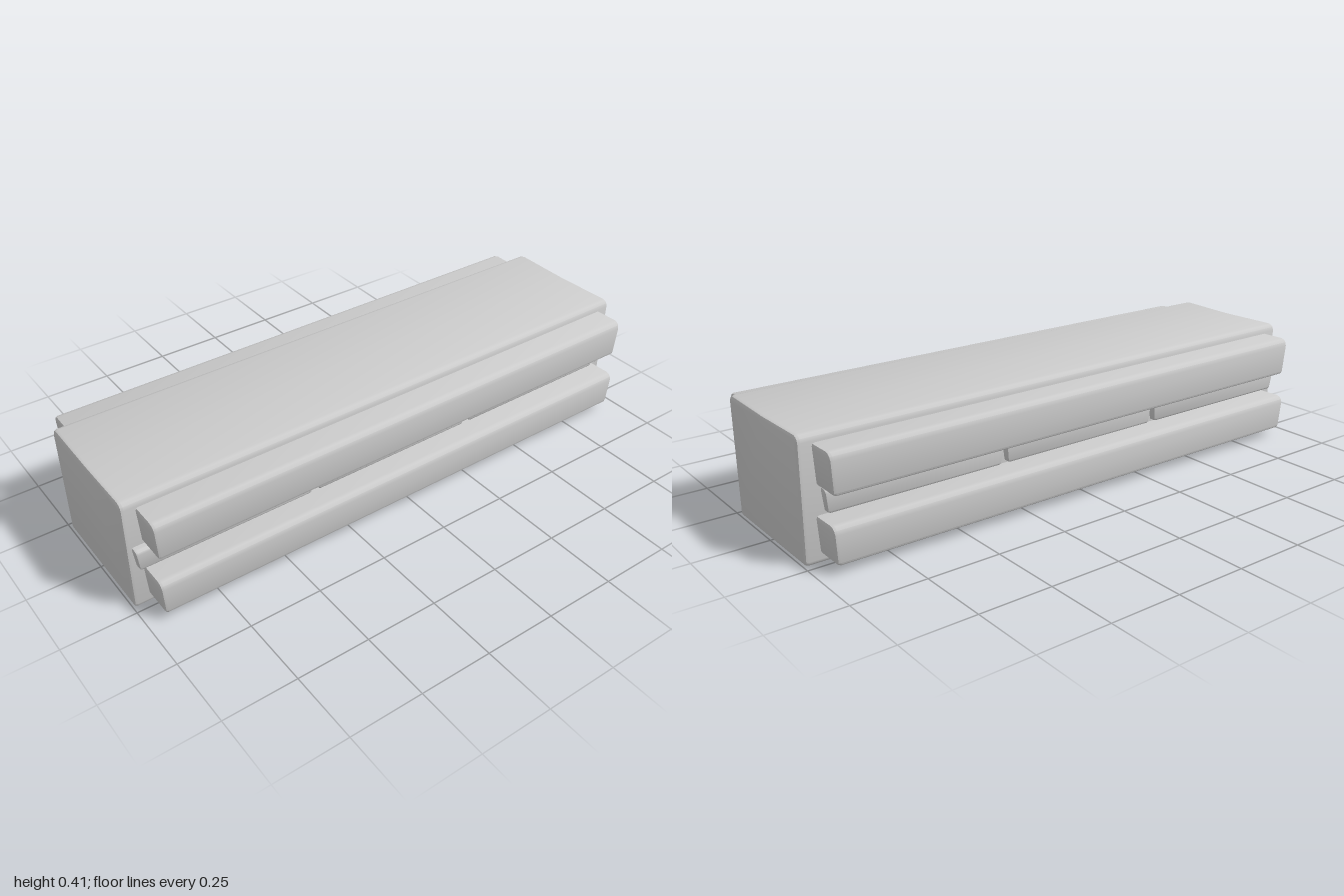
import * as THREE from 'three';
import { toCreasedNormals } from 'three/addons/utils/BufferGeometryUtils.js';

const material = new THREE.MeshStandardMaterial({ color: 0xcccccc });

// Worn block lying along x: well rounded upper edges, tighter lower edges, a slightly hollow top.
function block(name, { x0, x1, y0, y1, half, top, bottom, dip, taper, bevel }) {
  const height = y1 - y0;
  const low = half - 0.004; // the sides lean in slightly toward the base
  const shape = new THREE.Shape();
  shape.moveTo(-low + bottom, 0);
  shape.lineTo(low - bottom, 0);
  shape.quadraticCurveTo(low, 0, low, bottom);
  shape.lineTo(half, height - top);
  shape.quadraticCurveTo(half - top * 0.1, height - top * 0.1, half - top, height);
  shape.lineTo(0, height - dip);
  shape.lineTo(-half + top, height);
  shape.quadraticCurveTo(-half + top * 0.1, height - top * 0.1, -half, height - top);
  shape.lineTo(-low, bottom);
  shape.quadraticCurveTo(-low, 0, -low + bottom, 0);

  const depth = x1 - x0 - 2 * bevel;
  let geometry = new THREE.ExtrudeGeometry(shape, {
    depth, curveSegments: 3, bevelThickness: bevel, bevelSize: bevel,
    bevelOffset: -bevel, bevelSegments: 2,
  });
  geometry.translate(0, 0, -depth / 2);
  geometry.rotateY(Math.PI / 2);

  // Ends lean inward toward the bottom
  const pos = geometry.attributes.position;
  for (let i = 0; i < pos.count; i++) {
    const x = pos.getX(i);
    pos.setX(i, x - Math.sign(x) * taper * (1 - pos.getY(i) / height));
  }
  geometry = toCreasedNormals(geometry, 0.6);

  const mesh = new THREE.Mesh(geometry, material);
  mesh.name = name;
  mesh.position.set((x0 + x1) / 2, y0, 0);
  return mesh;
}

export function createModel() {
  const group = new THREE.Group();
  group.name = 'block';

  // Main body
  group.add(block('body', {
    x0: -0.997, x1: 0.997, y0: 0, y1: 0.408, half: 0.235,
    top: 0.024, bottom: 0.014, dip: 0.004, taper: 0.002, bevel: 0.011,
  }));

  // Long rails, standing proud of the front and the back
  const rail = { x0: -0.951, x1: 0.953, half: 0.34, top: 0.026, bottom: 0.01, dip: 0.006, taper: 0.009, bevel: 0.01 };
  group.add(block('lowerRail', { ...rail, y0: 0.03, y1: 0.155 }));
  group.add(block('upperRail', { ...rail, y0: 0.245, y1: 0.38 }));

  // Row of three short slabs between the rails
  for (let i = 0; i < 3; i++) {
    const x0 = -0.98 + i * 0.641;
    group.add(block('middleSlab' + (i + 1), {
      x0, x1: x0 + 0.632, y0: 0.16, y1: 0.239, half: 0.26,
      top: 0.014, bottom: 0.008, dip: 0.003, taper: 0.01, bevel: 0.007,
    }));
  }
  return group;
}
